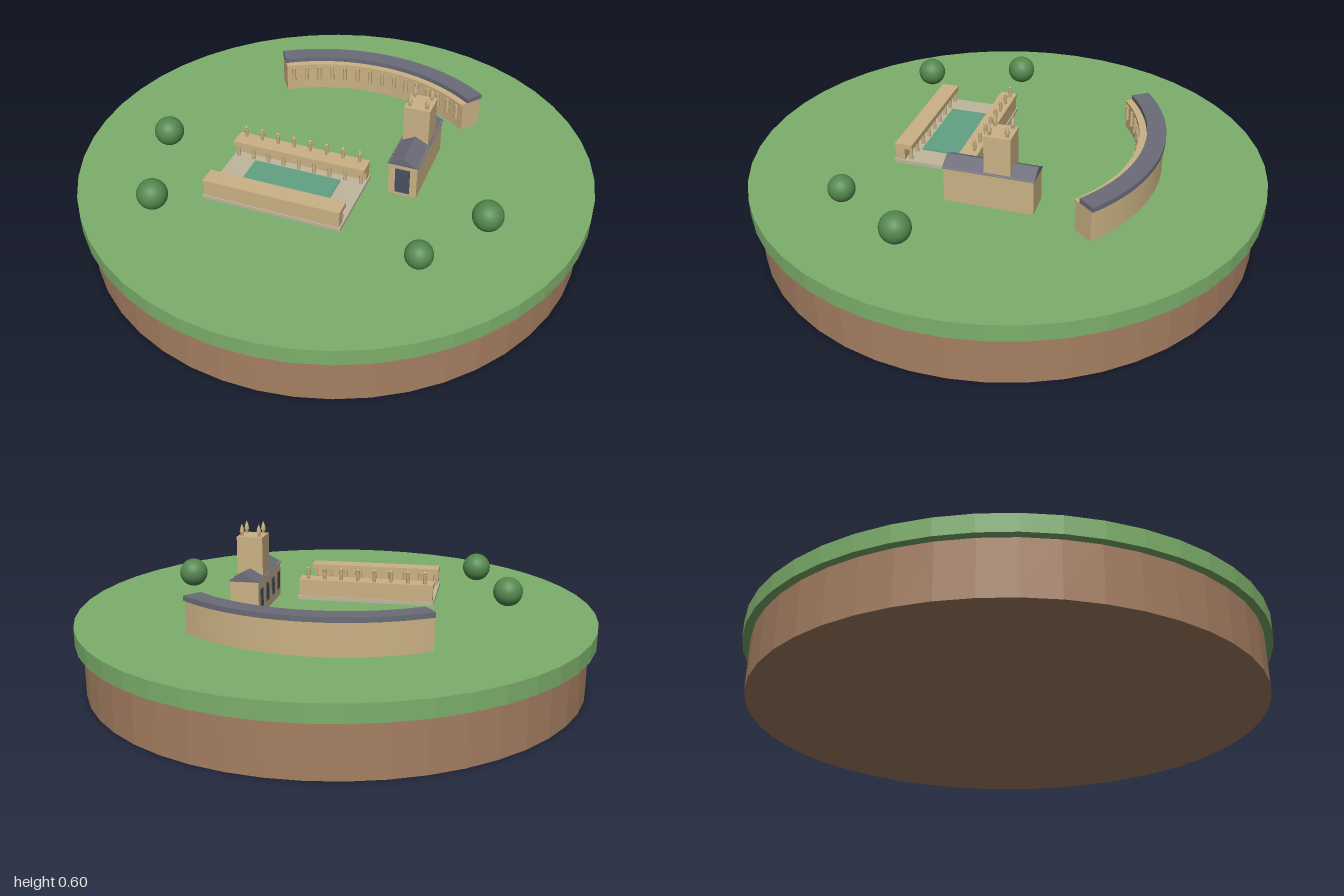
import * as THREE from 'three';

const mat = (name, color, extra = {}) => {
  const m = new THREE.MeshStandardMaterial({ color, ...extra });
  m.name = name;
  return m;
};

export function createModel() {
  const grass = mat('grass', 0x7daf6b, { flatShading: true });
  const soil = mat('soil', 0xa67f62, { flatShading: true });
  const stone = mat('honeyStone', 0xcbb285);
  const slate = mat('slate', 0x6c6c79);
  const paving = mat('paving', 0xc0b69f);
  const water = mat('water', 0x62a283);
  const leaf = mat('leaf', 0x55884f);
  const glass = mat('darkGlass', 0x4a5160);

  const GROUND = 0.265;
  const TURN = -0.35;
  const model = new THREE.Group();
  model.name = 'parkIsland';

  const add = (parent, name, geo, material, x = 0, y = 0, z = 0) => {
    const mesh = new THREE.Mesh(geo, material);
    mesh.name = name;
    mesh.position.set(x, y, z);
    parent.add(mesh);
    return mesh;
  };
  // Box placed by its base height
  const box = (parent, name, material, w, h, d, x, y, z) =>
    add(parent, name, new THREE.BoxGeometry(w, h, d), material, x, y + h / 2, z);
  const group = (name, x, z, turn = 0) => {
    const g = new THREE.Group();
    g.name = name;
    g.position.set(x, 0, z);
    g.rotation.y = turn;
    model.add(g);
    return g;
  };

  // Island disc
  add(model, 'soilBase', new THREE.CylinderGeometry(0.97, 0.97, 0.2, 48), soil, 0, 0.1, 0);
  add(model, 'lawn', new THREE.CylinderGeometry(1, 1, 0.065, 48), grass, 0, 0.2325, 0);

  // Round trees
  [[-0.67, -0.1, 0.058], [-0.67, 0.305, 0.058], [0.545, 0.415, 0.058], [0.287, 0.62, 0.051]]
    .forEach(([x, z, r]) => add(model, 'tree', new THREE.SphereGeometry(r, 20, 14), leaf, x, 0.322, z));

  // Curved terrace: ring segments extruded upwards
  const terrace = group('curvedTerrace', -0.06, 0.146);
  const A0 = THREE.MathUtils.degToRad(31.4), A1 = THREE.MathUtils.degToRad(103.6);
  const ring = (name, material, r0, r1, y, h) => {
    const s = new THREE.Shape();
    s.absarc(0, 0, r1, A0, A1, false);
    s.absarc(0, 0, r0, A1, A0, true);
    const geo = new THREE.ExtrudeGeometry(s, { depth: h, bevelEnabled: false, curveSegments: 24 });
    geo.rotateX(-Math.PI / 2);
    add(terrace, name, geo, material, 0, y, 0);
  };
  ring('terraceBody', stone, 0.67, 0.757, GROUND, 0.122);
  ring('terraceCornice', stone, 0.662, 0.68, 0.375, 0.012);
  ring('terraceRoof', slate, 0.69, 0.763, 0.387, 0.019);
  const terraceColumn = new THREE.CylinderGeometry(0.0075, 0.009, 0.062, 8);
  for (let i = 0; i < 15; i++) {
    const a = A0 + ((i + 0.5) / 15) * (A1 - A0);
    add(terrace, 'terraceColumn', terraceColumn, stone, 0.661 * Math.cos(a), 0.344, -0.661 * Math.sin(a));
  }

  // Bath house: paved court, pool, two facing colonnades
  const baths = group('bathHouse', -0.18, 0.19, TURN);
  box(baths, 'courtPaving', paving, 0.547, 0.014, 0.34, 0, GROUND, 0);
  box(baths, 'poolWater', water, 0.355, 0.004, 0.185, 0, 0.279, 0);
  const bathColumn = new THREE.CylinderGeometry(0.007, 0.008, 0.048, 8);
  for (const side of [-1, 1]) {
    box(baths, 'outerWall', stone, 0.535, 0.05, 0.036, 0, 0.279, side * 0.147);
    box(baths, 'colonnadeRoof', stone, 0.54, 0.02, 0.07, 0, 0.327, side * 0.132);
    for (let i = 0; i < 9; i++)
      add(baths, 'bathColumn', bathColumn, stone, -0.255 + i * 0.06375, 0.303, side * 0.107);
  }
  // Statues on the rear colonnade
  const statueBody = new THREE.CylinderGeometry(0.009, 0.006, 0.038, 8);
  const statueHead = new THREE.SphereGeometry(0.007, 8, 6);
  for (let i = 0; i < 8; i++) {
    const x = -0.235 + i * 0.0671;
    add(baths, 'statueBody', statueBody, stone, x, 0.366, -0.147);
    add(baths, 'statueHead', statueHead, stone, x, 0.39, -0.147);
  }

  // Church: nave with gabled roof
  const church = group('church', 0.306, 0.073, TURN);
  box(church, 'nave', stone, 0.11, 0.14, 0.338, 0, GROUND, 0);
  const gable = new THREE.Shape([
    new THREE.Vector2(-0.06, 0), new THREE.Vector2(0.06, 0), new THREE.Vector2(0, 0.032)]);
  add(church, 'naveRoof', new THREE.ExtrudeGeometry(gable, { depth: 0.344, bevelEnabled: false }),
    slate, 0, 0.402, -0.172);
  // Windows
  box(church, 'frontWindow', glass, 0.056, 0.105, 0.006, 0, 0.28, 0.17);
  for (let i = 0; i < 4; i++)
    box(church, 'sideWindow', glass, 0.006, 0.07, 0.034, -0.056, 0.3, -0.129 + i * 0.086);
  // Tower and corner pinnacles
  box(church, 'tower', stone, 0.1, 0.29, 0.1, 0, GROUND, -0.033);
  const pinnacle = new THREE.LatheGeometry(
    [[0.006, 0], [0.006, 0.012], [0.01, 0.016], [0.006, 0.034], [0, 0.048]]
      .map(([r, y]) => new THREE.Vector2(r, y)), 8);
  for (const sx of [-1, 1])
    for (const sz of [-1, 1])
      add(church, 'pinnacle', pinnacle, stone, sx * 0.033, 0.555, -0.033 + sz * 0.033);

  return model;
}
